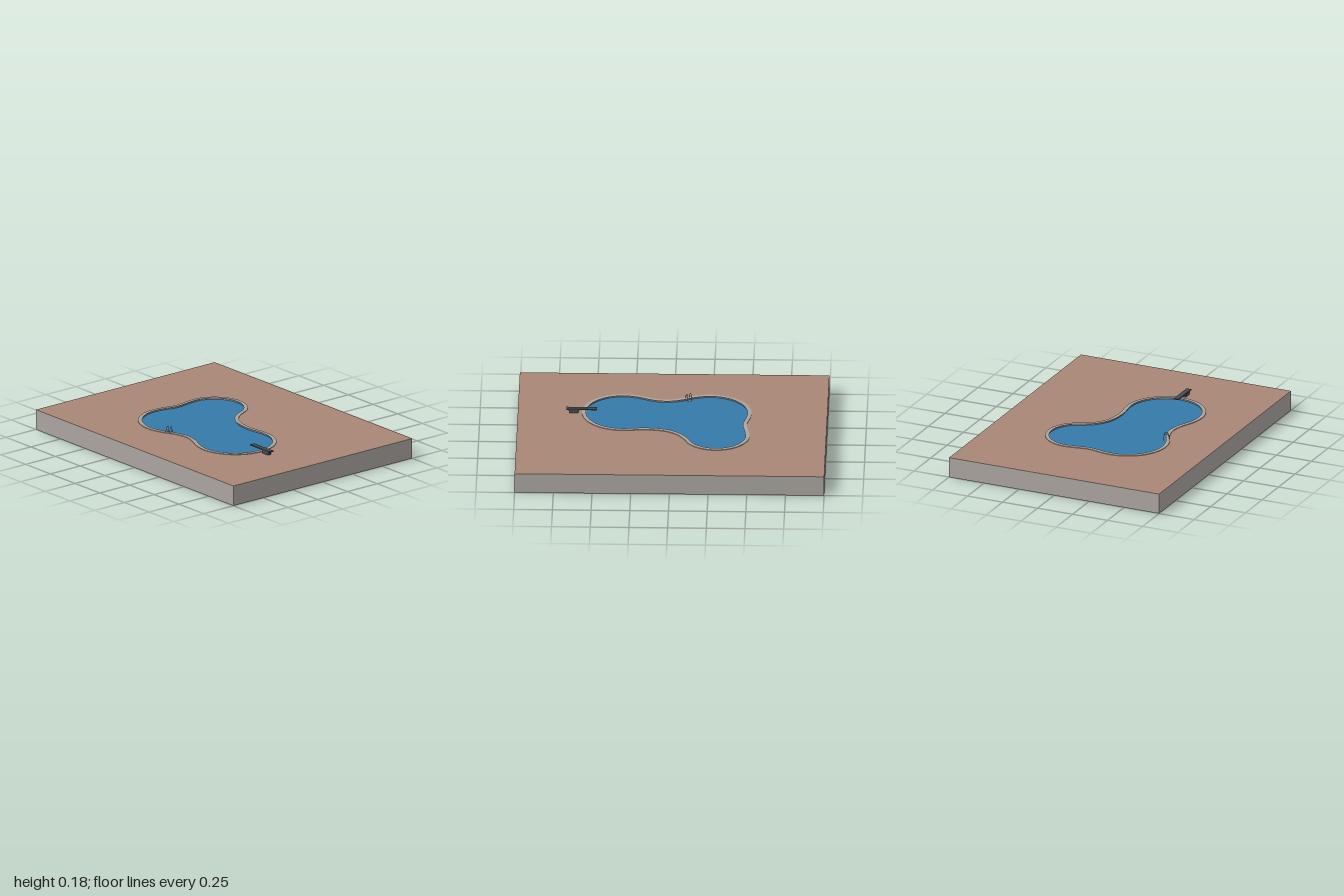
import * as THREE from 'three';

const material = (name, color, extra = {}) => {
  const m = new THREE.MeshStandardMaterial({ color, ...extra });
  m.name = name;
  return m;
};

// Points on a circle in the ground plane, angles in degrees from +x towards +z
function arc(cx, cz, r, from, to, n) {
  return Array.from({ length: n + 1 }, (_, i) => {
    const a = THREE.MathUtils.degToRad(from + ((to - from) * i) / n);
    return new THREE.Vector3(cx + r * Math.cos(a), 0, cz + r * Math.sin(a));
  });
}

const at = (x, z) => new THREE.Vector3(x, 0, z);

// Waterline: three round lobes joined by soft waists
function poolOutline() {
  const curve = new THREE.CatmullRomCurve3([
    ...arc(-0.29, -0.16, 0.19, 165, 345, 8),
    at(-0.055, -0.136), at(0.03, -0.08), at(0.165, -0.057),
    ...arc(0.32, 0.17, 0.24, 272, 470, 9),
    at(0.13, 0.35), at(0.04, 0.335), at(-0.04, 0.35),
    ...arc(-0.24, 0.17, 0.245, 70, 190, 6),
    at(-0.458, 0.01),
  ], true);
  return curve.getSpacedPoints(144).slice(0, -1);
}

// Outline pushed outwards by d, as shape points (shape y is -z)
function offset(points, d) {
  const n = points.length;
  return points.map((p, i) => {
    const t = points[(i + 1) % n].clone().sub(points[(i + n - 1) % n]).normalize();
    return new THREE.Vector2(p.x + t.z * d, -(p.z - t.x * d));
  });
}

// Upright slab cut from an outline, with an optional hole
function slab(outer, hole, bottom, top) {
  const shape = new THREE.Shape(outer);
  if (hole) shape.holes.push(new THREE.Path(hole));
  const g = new THREE.ExtrudeGeometry(shape, { depth: top - bottom, bevelEnabled: false });
  return g.rotateX(-Math.PI / 2).translate(0, bottom, 0);
}

export function createModel() {
  const model = new THREE.Group();
  model.name = 'swimmingPool';
  const concrete = material('concrete', 0xaaa49f);
  const paving = material('paving', 0xa88676);
  const water = material('water', 0x347aa8, { side: THREE.DoubleSide });
  const darkGrey = material('darkGrey', 0x464a4c);
  const steel = material('steel', 0xb4b4b4);

  const add = (name, geometry, mat, parent = model) => {
    const mesh = new THREE.Mesh(geometry, mat);
    mesh.name = name;
    parent.add(mesh);
    return mesh;
  };

  // Ground block, and paved deck with the pool cut out
  const outline = poolOutline();
  add('foundation', new THREE.BoxGeometry(2, 0.12, 1.5).translate(0, 0.06, 0), concrete);
  const rectangle = [[-1, -0.75], [1, -0.75], [1, 0.75], [-1, 0.75]]
    .map(([x, y]) => new THREE.Vector2(x, y));
  add('deck', slab(rectangle, offset(outline, 0.013), 0.12, 0.135), [paving, concrete]);

  // Stone edge and water
  add('coping', slab(offset(outline, 0.026), offset(outline, 0), 0.12, 0.139), concrete);
  add('waterSurface', new THREE.ShapeGeometry(new THREE.Shape(offset(outline, 0.004)))
    .rotateX(-Math.PI / 2).translate(0, 0.129, 0), water);

  // Diving board on a stand that widens towards the top
  const board = new THREE.Group();
  board.name = 'divingBoard';
  board.position.set(0.5875, 0.135, 0.17);
  model.add(board);
  add('plank', new THREE.BoxGeometry(0.195, 0.007, 0.034).translate(0, 0.0265, 0), darkGrey, board);
  const stand = new THREE.Shape([[0.022, 0], [0.078, 0], [0.078, 0.014], [0.09, 0.023],
    [0.01, 0.023], [0.022, 0.014]].map(([x, y]) => new THREE.Vector2(x, y)));
  add('stand', new THREE.ExtrudeGeometry(stand, { depth: 0.026, bevelEnabled: false })
    .translate(0, 0, -0.013), darkGrey, board);

  // Pair of ladder rails arching over the edge, with a step under them
  const ladder = new THREE.Group();
  ladder.name = 'ladder';
  ladder.position.set(-0.1, 0.135, 0.378);
  ladder.rotation.y = 0.41;
  model.add(ladder);
  const railPath = new THREE.CatmullRomCurve3([[-0.012, -0.016], [0.015, -0.016], [0.033, -0.012],
    [0.039, -0.002], [0.033, 0.01], [0.016, 0.018], [0, 0.02]]
    .map(([y, z]) => new THREE.Vector3(0, y, z)));
  for (const side of [-1, 1]) {
    add(side < 0 ? 'rightRail' : 'leftRail',
      new THREE.TubeGeometry(railPath, 24, 0.002, 8).translate(side * 0.013, 0, 0), steel, ladder);
  }
  add('step', new THREE.BoxGeometry(0.026, 0.002, 0.006).translate(0, -0.004, -0.016), steel, ladder);

  return model;
}
